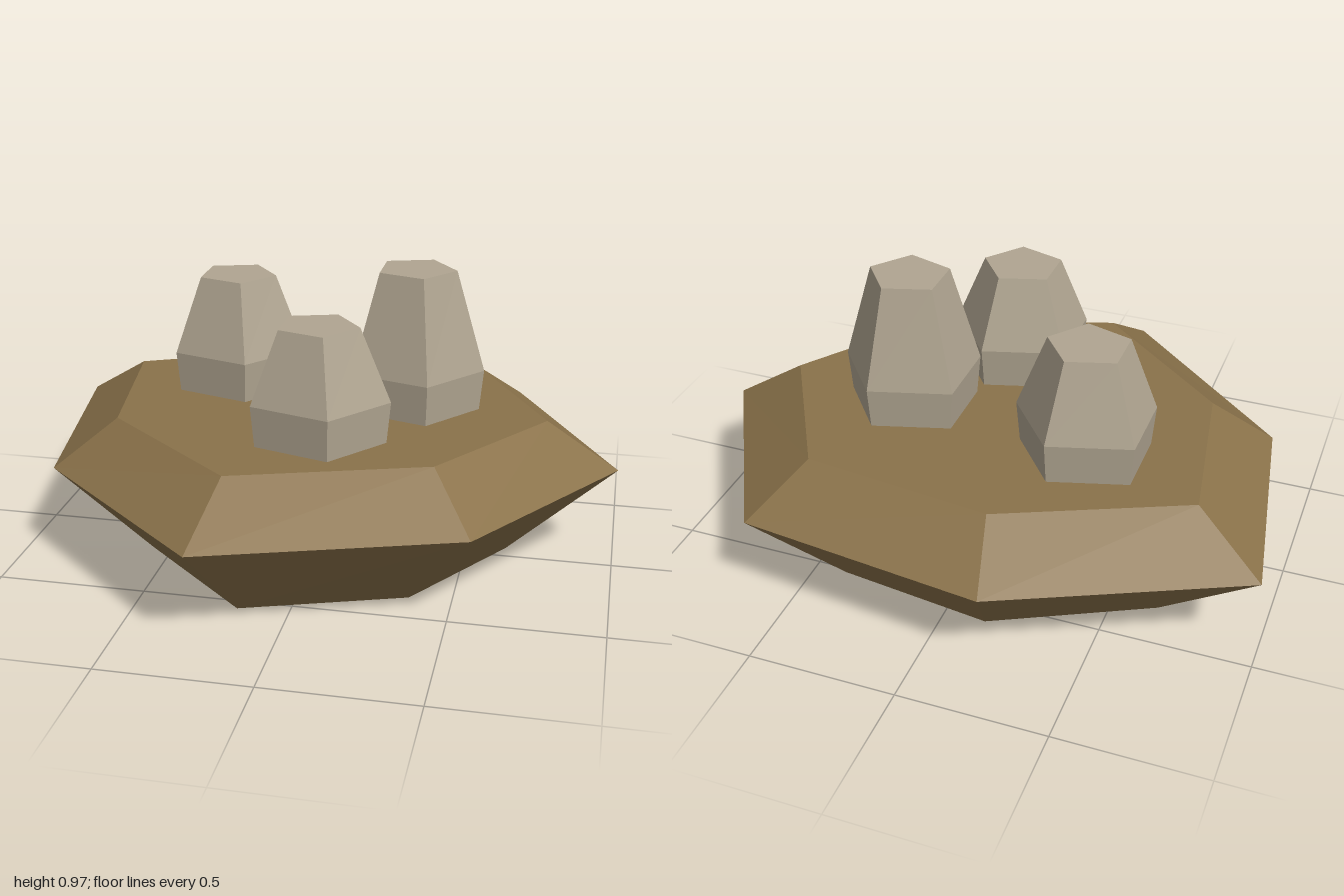
import * as THREE from 'three';

// Faceted shell through rings of [x, y, z] points, capped on top and open below
function shell(rings) {
  const pos = [];
  const tri = (...pts) => pts.forEach((p) => pos.push(...p));
  const n = rings[0].length;
  for (let r = 0; r < rings.length - 1; r++) {
    const a = rings[r], b = rings[r + 1];
    for (let i = 0; i < n; i++) {
      const j = (i + 1) % n;
      tri(a[j], a[i], b[i]);
      tri(a[j], b[i], b[j]);
    }
  }
  const top = rings[rings.length - 1];
  for (let i = 1; i < n - 1; i++) tri(top[0], top[i + 1], top[i]);
  const geo = new THREE.BufferGeometry();
  geo.setAttribute('position', new THREE.Float32BufferAttribute(pos, 3));
  geo.computeVertexNormals();
  return geo;
}

const ringAt = (y, points) => points.map(([x, z]) => [x, y, z]);

// Five-sided ring with one corner towards +x
function pentagon(y, rx, rz) {
  return Array.from({ length: 5 }, (_, i) => {
    const a = (i / 5) * Math.PI * 2;
    return [Math.cos(a) * rx, y, Math.sin(a) * rz];
  });
}

function material(name, color) {
  const m = new THREE.MeshStandardMaterial({ color, flatShading: true, side: THREE.DoubleSide });
  m.name = name;
  return m;
}

export function createModel() {
  const group = new THREE.Group();
  const earth = material('earthBrown', 0x8a724a);
  const stone = material('stoneGrey', 0xb0a591);

  // Irregular seven-sided mound: narrow foot, wide rim, flat plateau
  const mound = new THREE.Mesh(shell([
    ringAt(0, [[-0.65, -0.33], [-0.14, -0.59], [0.39, -0.52], [0.635, -0.06], [0.36, 0.365], [-0.17, 0.55], [-0.57, 0.18]]),
    ringAt(0.325, [[-1, -0.49], [-0.22, -0.86], [0.615, -0.76], [1, -0.065], [0.575, 0.58], [-0.25, 0.855], [-0.87, 0.3]]),
    ringAt(0.485, [[-0.765, -0.375], [-0.17, -0.645], [0.47, -0.57], [0.755, -0.065], [0.435, 0.4], [-0.195, 0.605], [-0.67, 0.2]]),
  ]), earth);
  mound.name = 'mound';
  group.add(mound);

  // Three tapered stones sunk slightly into the plateau: x, z, top height
  const stones = [
    ['leftStone', 0.29, -0.13, 0.97],
    ['rightStone', -0.355, -0.228, 0.89],
    ['frontStone', 0.03, 0.237, 0.87],
  ];
  for (const [name, x, z, height] of stones) {
    const mesh = new THREE.Mesh(shell([
      pentagon(0.4, 0.219, 0.199),
      pentagon(0.625, 0.24, 0.218),
      pentagon(height, 0.138, 0.13),
    ]), stone);
    mesh.name = name;
    mesh.position.set(x, 0, z);
    group.add(mesh);
  }
  return group;
}
